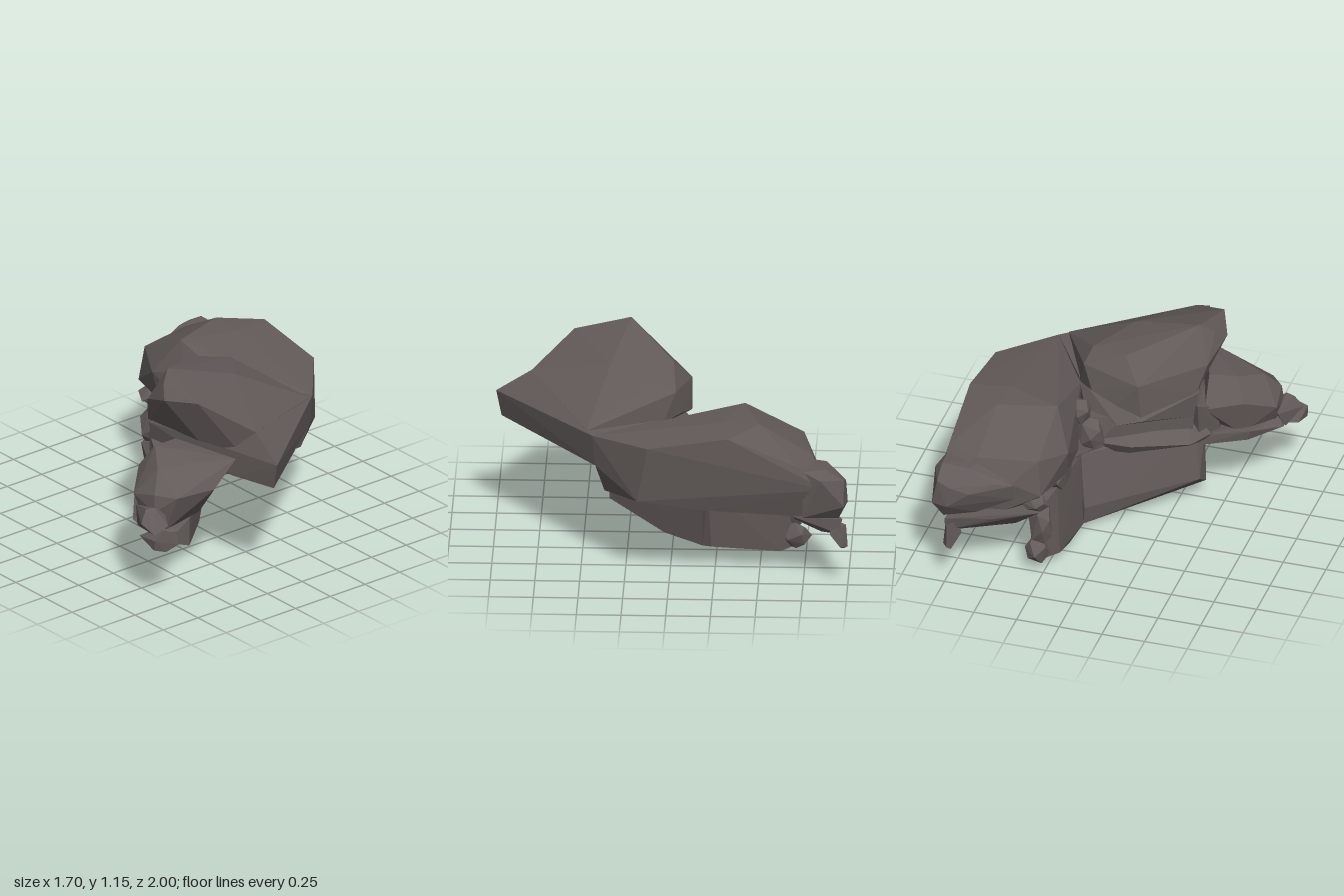
import * as THREE from 'three';
import { ConvexGeometry } from 'three/addons/geometries/ConvexGeometry.js';

export function createModel() {
  const group = new THREE.Group();
  const stone = new THREE.MeshStandardMaterial({ color: 0x625a59 });
  stone.name = 'darkStone';
  stone.flatShading = true;

  // Faceted block spanning a few corner points
  function block(name, corners) {
    const geo = new ConvexGeometry(corners.map(c => new THREE.Vector3(...c)));
    const mesh = new THREE.Mesh(geo, stone);
    mesh.name = name;
    group.add(mesh);
  }

  // Small irregular boulder: centre, half sizes, seed
  function boulder(name, c, s, seed) {
    const rand = () => (seed = (seed * 16807) % 2147483647) / 2147483647;
    const corners = [];
    for (let i = 0; i < 14; i++) {
      const h = 1 - 2 * (i + 0.5) / 14, a = i * 2.4 + rand() * 0.6;
      const r = Math.sqrt(1 - h * h), k = 0.85 + rand() * 0.25;
      corners.push([c[0] + s[0] * r * Math.cos(a) * k, c[1] + s[1] * h * k, c[2] + s[2] * r * Math.sin(a) * k]);
    }
    block(name, corners);
  }

  // Thin pedestal wall running diagonally under the overhang
  block('pedestalFront', [
    [-0.3, 0.08, 0.37], [-0.3, 0.45, 0.37], [0.03, 0.01, 0.05], [-0.04, 0.45, 0.14],
    [0.24, 0.02, -0.17], [0.26, 0.4, -0.17], [-0.38, 0.09, 0.29], [-0.37, 0.45, 0.3],
    [-0.37, 0.15, 0.2], [-0.33, 0.48, 0.24], [-0.02, 0.06, -0.07], [-0.03, 0.15, -0.1], [0, 0.48, -0.01],
    [0.17, 0.03, -0.25], [0.16, 0.14, -0.26], [0.2, 0.45, -0.2],
  ]);
  block('pedestalRear', [
    [0.24, 0.02, -0.17], [0.26, 0.4, -0.17], [0.28, 0.03, -0.22], [0.3, 0.4, -0.2],
    [0.36, 0.04, -0.61], [0.37, 0.4, -0.63], [0.2, 0.0, -0.42], [0.17, 0.03, -0.25], [0.2, 0.45, -0.22],
    [0.2, 0.05, -0.6], [0.23, 0.45, -0.55], [0.28, 0.05, -0.7], [0.27, 0.4, -0.68],
  ]);
  boulder('pedestalRubble', [0.3, 0.12, -0.69], [0.07, 0.09, 0.09], 11);
  boulder('pedestalRubble', [0.28, 0.27, -0.68], [0.07, 0.15, 0.07], 23);

  // Recessed layer between pedestal and slab, with ledges behind
  block('recessedLayer', [
    [-0.05, 0.44, 0.2], [-0.05, 0.63, 0.25], [0.5, 0.45, 0.37], [0.53, 0.62, 0.42],
    [0.26, 0.34, -0.15], [0.3, 0.4, -0.1], [0.3, 0.62, -0.08], [0.14, 0.5, -0.1], [0.0, 0.46, -0.06], [0.0, 0.65, -0.07],
    [-0.34, 0.44, 0.14], [-0.36, 0.65, 0.14], [-0.3, 0.43, 0.36], [-0.3, 0.63, 0.36],
  ]);
  block('backShelf', [
    [0.1, 0.5, -0.12], [0.08, 0.43, -0.08], [-0.06, 0.49, -0.1], [-0.04, 0.43, -0.07], [-0.36, 0.46, 0.07],
    [-0.34, 0.42, 0.12], [-0.44, 0.47, 0.2], [-0.44, 0.42, 0.26], [-0.3, 0.6, 0.2], [0.1, 0.6, 0.0], [-0.25, 0.43, 0.3],
  ]);
  block('lowerLedge', [
    [-0.28, 0.4, 0.45], [-0.3, 0.64, 0.6], [-0.46, 0.42, 0.3], [-0.45, 0.6, 0.27], [-0.38, 0.42, 0.16],
    [-0.38, 0.68, 0.13], [-0.42, 0.4, 0.5], [-0.25, 0.62, 0.3], [-0.25, 0.42, 0.25],
  ]);

  // Overhanging prow with its high crest
  block('prowSlab', [
    [-0.18, 0.77, 1.0], [-0.18, 0.62, 0.97], [-0.17, 0.9, 0.8], [0.53, 0.79, 0.44], [0.53, 0.61, 0.42],
    [-0.24, 0.77, 0.72], [-0.25, 0.62, 0.71], [-0.39, 0.78, 0.12], [-0.36, 0.62, 0.12],
    [-0.12, 0.66, -0.08], [0.02, 0.62, -0.1], [0.24, 0.64, 0], [0.3, 0.79, 0.08],
  ]);
  block('crest', [
    [-0.17, 0.9, 0.8], [-0.4, 1.06, 0.57], [-0.48, 1.03, 0.37],
    [-0.43, 1.09, 0.3], [-0.36, 1.15, 0.25], [0, 1.03, 0], [0.05, 1.03, 0.35],
    [0.22, 0.99, 0.1], [0.24, 0.94, -0.02], [0.48, 0.8, 0.47], [0.28, 0.77, 0.05],
    [-0.43, 0.95, 0.16], [-0.38, 0.79, 0.1], [-0.1, 0.9, -0.1], [0.02, 0.75, -0.1],
    [-0.12, 0.7, -0.1], [-0.34, 0.79, 0.5], [-0.22, 0.76, 0.72], [0.18, 0.8, -0.06],
  ]);

  // Long rear wing
  block('wing', [
    [0.53, 0.79, 0.44], [0.5, 0.45, 0.37], [0.53, 0.61, 0.42], [0.8, 0.82, 0.12], [0.76, 0.49, 0.18],
    [0.28, 0.76, 0.06], [0.38, 0.81, -0.1], [0.58, 0.9, -0.3], [0.6, 0.9, -0.5], [0.81, 0.89, -0.33],
    [0.81, 0.73, -0.72], [0.77, 0.41, -0.85], [0.76, 0.44, -0.2], [0.28, 0.35, -0.18], [0.35, 0.36, -0.6],
    [0.83, 0.6, -0.88], [0.62, 0.73, -0.8], [0.4, 0.77, -0.7], [0.28, 0.73, -0.74], [0.26, 0.52, -0.77],
    [0.17, 0.68, -0.54], [0.19, 0.52, -0.5], [0.2, 0.52, -0.25], [0.21, 0.74, -0.3], [0.27, 0.895, -0.41],
    [0.45, 0.42, -0.81], [0.42, 0.6, -0.82],
  ]);
  block('wingTip', [
    [0.64, 0.7, -0.88], [0.8, 0.71, -0.88], [0.85, 0.66, -0.85], [0.83, 0.5, -0.98], [0.62, 0.58, -0.96],
    [0.72, 0.62, -0.99], [0.74, 0.5, -1.0], [0.8, 0.65, -0.98], [0.77, 0.41, -0.95], [0.6, 0.42, -0.88], [0.81, 0.7, -0.75],
    [0.8, 0.42, -0.75], [0.6, 0.7, -0.76], [0.5, 0.62, -0.88], [0.4, 0.6, -0.83], [0.4, 0.5, -0.81],
  ]);
  block('wingUnderside', [
    [0.37, 0.29, -0.66], [0.36, 0.4, -0.6], [0.42, 0.28, -0.72], [0.7, 0.3, -0.85], [0.76, 0.31, -0.95],
    [0.76, 0.4, -0.97], [0.74, 0.4, -0.7], [0.5, 0.38, -0.86], [0.27, 0.4, -0.76], [0.6, 0.33, -0.7],
  ]);
  block('wingFoot', [
    [0.72, 0.21, -0.98], [0.77, 0.23, -0.96], [0.77, 0.31, -0.9], [0.68, 0.28, -0.9], [0.74, 0.36, -0.99],
    [0.7, 0.37, -0.92], [0.76, 0.35, -0.95], [0.74, 0.23, -1.0],
  ]);

  // Rubble in the saddle and below the wing's inner side
  const rubble = [
    [0.17, 0.56, -0.13, 0.09, 0.12, 0.06], [0.24, 0.7, -0.13, 0.09, 0.08, 0.08],
    [0.31, 0.44, -0.72, 0.09, 0.06, 0.06], [0.23, 0.5, -0.45, 0.05, 0.1, 0.16],
  ];
  rubble.forEach((r, i) => boulder('innerRubble', r.slice(0, 3), r.slice(3), 101 + i * 37));

  // Side lobe with its thin lower ledge and end knob
  block('sideLobe', [
    [-0.25, 0.73, 0.72], [-0.25, 0.44, 0.5], [-0.42, 0.6, 0.74], [-0.44, 0.73, 0.62], [-0.65, 0.71, 0.52],
    [-0.73, 0.6, 0.59], [-0.65, 0.59, 0.69], [-0.54, 0.77, 0.36], [-0.38, 0.76, 0.35], [-0.75, 0.56, 0.43],
    [-0.6, 0.64, 0.29], [-0.4, 0.62, 0.2], [-0.67, 0.38, 0.62], [-0.4, 0.4, 0.58], [-0.36, 0.41, 0.4],
    [-0.58, 0.42, 0.32], [-0.73, 0.44, 0.48], [-0.74, 0.5, 0.6],
  ]);
  block('lobeLedge', [
    [-0.78, 0.42, 0.46], [-0.76, 0.37, 0.6], [-0.62, 0.4, 0.3], [-0.64, 0.46, 0.3], [-0.38, 0.4, 0.17],
    [-0.38, 0.46, 0.17], [-0.3, 0.4, 0.5], [-0.62, 0.37, 0.66], [-0.74, 0.46, 0.5],
  ]);
  block('endKnobUpper', [
    [-0.8, 0.54, 0.6], [-0.75, 0.54, 0.62], [-0.85, 0.47, 0.62], [-0.82, 0.42, 0.7], [-0.72, 0.45, 0.7],
    [-0.66, 0.42, 0.6], [-0.67, 0.5, 0.6], [-0.75, 0.5, 0.45], [-0.78, 0.4, 0.5],
  ]);
  block('endKnobLower', [
    [-0.84, 0.4, 0.73], [-0.84, 0.34, 0.72], [-0.76, 0.31, 0.73], [-0.67, 0.33, 0.73], [-0.67, 0.39, 0.71],
    [-0.76, 0.44, 0.72], [-0.83, 0.38, 0.58], [-0.72, 0.37, 0.56],
  ]);

  return group;
}
